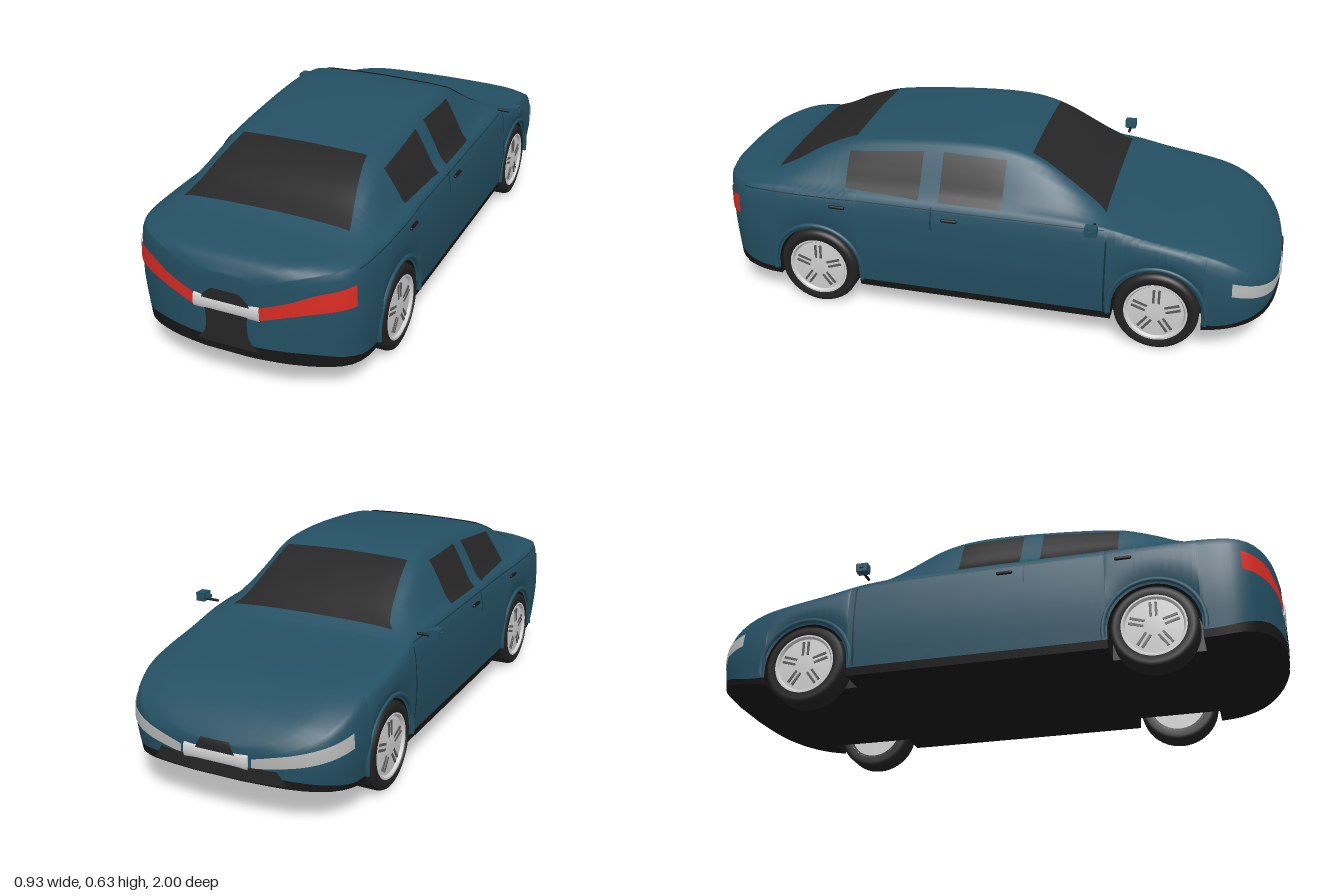
import * as THREE from 'three';
import { toCreasedNormals } from 'three/addons/utils/BufferGeometryUtils.js';

const mat = (name, color, side = THREE.FrontSide) => {
  const m = new THREE.MeshStandardMaterial({ color, side });
  m.name = name;
  return m;
};

// smooth interpolation through [position, value] pairs sorted by position
function curve(...p) {
  const slope = (i) => {
    const a = p[Math.max(i - 1, 0)], b = p[Math.min(i + 1, p.length - 1)];
    return (b[1] - a[1]) / (b[0] - a[0]);
  };
  return (z) => {
    if (z <= p[0][0]) return p[0][1];
    if (z >= p[p.length - 1][0]) return p[p.length - 1][1];
    const i = p.findIndex((q) => q[0] > z) - 1;
    const h = p[i + 1][0] - p[i][0], t = (z - p[i][0]) / h, t2 = t * t, t3 = t2 * t;
    return (2 * t3 - 3 * t2 + 1) * p[i][1] + (t3 - 2 * t2 + t) * h * slope(i)
      + (3 * t2 - 2 * t3) * p[i + 1][1] + (t3 - t2) * h * slope(i + 1);
  };
}

const END = 0.993, WHEELS = [-0.605, 0.587], WHEEL_R = 0.142, ARCH_R = 0.15;

// body shape along its length (nose at -z, tail at +z)
const width = curve([-END, 0.08], [-0.985, 0.16], [-0.97, 0.245], [-0.94, 0.31], [-0.9, 0.352], [-0.85, 0.376],
  [-0.79, 0.387], [-0.7, 0.391], [0, 0.391], [0.7, 0.391], [0.8, 0.388], [0.86, 0.374], [0.9, 0.347], [0.94, 0.288],
  [0.97, 0.21], [0.985, 0.14], [END, 0.08]);
const top = curve([-END, 0.245], [-0.95, 0.293], [-0.9, 0.33], [-0.8, 0.375], [-0.7, 0.396], [-0.55, 0.413],
  [-0.46, 0.432], [-0.4, 0.465], [-0.3, 0.528], [-0.2, 0.583], [-0.13, 0.612], [-0.05, 0.628], [0.05, 0.632],
  [0.2, 0.625], [0.4, 0.606], [0.5, 0.588], [0.6, 0.552], [0.7, 0.502], [0.8, 0.463], [0.93, 0.445], [0.97, 0.43], [END, 0.395]);
const shoulder = curve([-END, 0.222], [-0.95, 0.265], [-0.9, 0.302], [-0.8, 0.35], [-0.7, 0.375], [-0.55, 0.4],
  [-0.4, 0.427], [-0.2, 0.438], [0.6, 0.438], [0.8, 0.434], [0.92, 0.425], [0.97, 0.405], [END, 0.37]);
const floorY = curve([-END, 0.135], [-0.8, 0.094], [-0.7, 0.086], [0.7, 0.086], [0.8, 0.09], [END, 0.125]);
const trimY = curve([-END, 0.165], [-0.9, 0.135], [-0.8, 0.113], [-0.4, 0.113], [0.7, 0.113], [0.8, 0.116],
  [0.9, 0.142], [0.95, 0.16], [END, 0.165]);

// [width factor, height factor] of the flank, and of the upper half over the cabin and the bonnet
const SIDE = [[0.965, 0], [0.985, 0.2], [1, 0.4], [1, 0.6], [0.99, 0.8], [0.975, 0.92], [0.95, 1]];
const CABIN = [[0.905, 0.03], [0.86, 0.17], [0.8, 0.43], [0.73, 0.7], [0.675, 0.88], [0.62, 0.945], [0.5, 0.97], [0.25, 0.99], [0, 1]];
const BONNET = [[0.93, 0.1], [0.9, 0.25], [0.85, 0.4], [0.8, 0.55], [0.74, 0.66], [0.66, 0.76], [0.5, 0.88], [0.25, 0.97], [0, 1]];

function section(z) {
  const w = width(z), yb = floorY(z), sh = shoulder(z), h = top(z) - sh;
  let ya = yb;
  for (const c of WHEELS) {
    const d = Math.abs(z - c);
    if (d <= ARCH_R + 1e-5) ya = WHEEL_R + Math.sqrt(Math.max(0, ARCH_R ** 2 - d * d));
  }
  const yt = Math.max(trimY(z), ya), wi = Math.min(0.27, w * 0.7);
  const half = [[0, yb], [wi, yb], [wi, ya], [w * 0.95, ya]];
  for (const [x, t] of SIDE) half.push([w * x, yt + (sh - yt) * t]);
  const k = THREE.MathUtils.clamp(h / 0.15, 0, 1);
  CABIN.forEach(([x, f], i) => {
    const [bx, bf] = BONNET[i];
    half.push([w * (bx + (x - bx) * k), sh + h * (bf + (f - bf) * k)]);
  });
  return [...half, ...half.slice(0, -1).reverse().map(([x, y]) => [-x, y])].map(([x, y]) => [x, y, z]);
}

function bodyRings() {
  const zs = [-END, -0.99, -0.985, -0.978, -0.97, -0.955, -0.94, -0.92];
  zs.push(...zs.map((z) => -z));
  for (let i = -30; i <= 30; i++) zs.push(i * 0.03);
  for (const c of WHEELS) {
    for (let i = 0; i <= 20; i++) zs.push(c + ARCH_R * Math.cos(i * Math.PI / 20));
    zs.push(c + ARCH_R + 0.001, c - ARCH_R - 0.001);
  }
  zs.sort((a, b) => a - b);
  const rings = zs.map(section);
  const closed = (r) => r.map(([, y, z]) => [0, y, z]);
  return [closed(rings[0]), ...rings, closed(rings[rings.length - 1])];
}

// skin over columns [from, to] of the rings
function skin(rings, ranges) {
  const n = rings[0].length, index = [];
  for (let i = 0; i < rings.length - 1; i++) {
    for (const [from, to] of ranges) for (let j = from; j < to; j++) {
      const a = i * n + j, c = a + n;
      index.push(a, a + 1, c, a + 1, c + 1, c);
    }
  }
  const g = new THREE.BufferGeometry();
  g.setAttribute('position', new THREE.Float32BufferAttribute(rings.flat(2), 3));
  g.setIndex(index);
  g.computeVertexNormals();
  return g;
}

export function createModel() {
  const car = new THREE.Group();
  car.name = 'car';
  const paint = mat('teal paint', 0x245063), trim = mat('black trim', 0x171717);
  const glass = mat('dark glass', 0x262626, THREE.DoubleSide), rubber = mat('tyre rubber', 0x222222);
  const red = mat('red lamp', 0xd92c23, THREE.DoubleSide), lamp = mat('clear lamp', 0xb4b6b6, THREE.DoubleSide);
  const silver = mat('silver', 0xcfcfcf), slot = mat('wheel slot', 0x5a5a5a);
  const seam = mat('seam', 0x14303b, THREE.DoubleSide);
  const add = (name, geo, m, parent = car) => {
    const mesh = new THREE.Mesh(geo, m);
    mesh.name = name;
    parent.add(mesh);
    return mesh;
  };

  // painted shell, black skirt and floor
  const rings = bodyRings();
  const shell = add('bodyShell', skin(rings, [[4, 34]]), paint);
  const skirt = add('skirtAndFloor', toCreasedNormals(skin(rings, [[0, 4], [34, 38]]), 0.6), trim);

  // thin plate laid on the body: at(u, v) gives [point outside, inward direction]
  const ray = new THREE.Raycaster();
  const lay = (name, m, at, nu = 14, nv = 8, lift = 0.004) => {
    const g = new THREE.PlaneGeometry(1, 1, nu, nv), pos = g.attributes.position;
    for (let i = 0; i < pos.count; i++) {
      const [o, d] = at(pos.getX(i) + 0.5, pos.getY(i) + 0.5).map((p) => new THREE.Vector3(...p));
      d.normalize();
      ray.set(o, d);
      const hit = ray.intersectObjects([shell, skirt])[0];
      const p = (hit ? hit.point : o).addScaledVector(d, -lift);
      pos.setXYZ(i, p.x, p.y, p.z);
    }
    g.computeVertexNormals();
    return add(name, g, m);
  };
  const mix = THREE.MathUtils.lerp;

  // windscreens
  lay('windscreen', glass, (u, v) => [[(u * 2 - 1) * mix(0.3, 0.23, Math.sqrt(v)), 2, mix(-0.415, -0.15, v)], [0, -1, 0]], 20, 14);
  lay('rearWindow', glass, (u, v) => [[(u * 2 - 1) * mix(0.22, 0.285, v ** 1.3), 2, mix(0.475, 0.745, v)], [0, -1, 0]], 20, 14);

  // lamps: swept around the corners from a centre inside the body
  const sweep = (name, m, s, dir, cz, a0, a1, low, high) => lay(name, m, (u, v) => {
    const a = mix(a0, a1, u), dx = s * Math.sin(a), dz = dir * Math.cos(a);
    return [[dx * 2, mix(low(u), high(u), v), cz + dz * 2], [-dx, 0, -dz]];
  }, 24, 5);
  for (const s of [1, -1]) {
    const side = s > 0 ? 'left' : 'right';
    sweep(side + 'TailLamp', red, s, 1, 0.6, 0.27, 0.93,
      curve([0, 0.262], [0.33, 0.288], [0.6, 0.303], [1, 0.313]), curve([0, 0.305], [0.33, 0.335], [0.6, 0.364], [1, 0.382]));
    sweep(side + 'HeadLamp', lamp, s, -1, -0.6, 0.3, 1.0,
      curve([0, 0.182], [0.5, 0.206], [1, 0.238]), curve([0, 0.212], [0.5, 0.247], [1, 0.285]));

    // side windows, seams and belt line
    const flank = (name, m, z0, z1, low, high, ...n) => lay(side + name, m,
      (u, v) => [[s * 2, mix(low(u), high(u), v), mix(z0, z1, u)], [-s, 0, 0]], ...n);
    const flat = (y) => () => y;
    flank('RearSideWindow', glass, 0.48, 0.215, (u) => mix(0.452, 0.443, u), (u) => mix(0.56, 0.587, u));
    flank('FrontSideWindow', glass, 0.145, -0.073, flat(0.443), (u) => mix(0.592, 0.588, u));
    flank('FrontDoorSeam', seam, -0.427, -0.433, flat(0.115), flat(0.425), 1, 16, 0.002);
    flank('RearDoorSeam', seam, 0.168, 0.163, flat(0.35), flat(0.43), 1, 8, 0.002);
    flank('BeltLine', seam, 0.85, -0.42, flat(0.42), flat(0.423), 40, 1, 0.002);

    // door handles
    for (const z of [0.5, 0.1]) {
      const handle = add(side + 'DoorHandle', new THREE.CapsuleGeometry(0.006, 0.045, 4, 8), trim);
      handle.rotation.x = Math.PI / 2;
      handle.position.set(s * 0.391, 0.393, z);
    }

    // door mirror
    const stalk = add(side + 'MirrorStalk', new THREE.CapsuleGeometry(0.005, 0.04, 4, 8), trim);
    stalk.rotation.z = Math.PI / 2;
    stalk.position.set(s * 0.398, 0.441, -0.39);
    const arm = add(side + 'MirrorArm', new THREE.BoxGeometry(0.055, 0.012, 0.014), paint);
    arm.position.set(s * 0.435, 0.451, -0.388);
    const head = add(side + 'MirrorHead', new THREE.BoxGeometry(0.032, 0.03, 0.04), paint);
    head.position.set(s * 0.438, 0.45, -0.388);
  }

  // grilles and number plates at both ends
  const rearGrille = curve([0.13, 0.13], [0.165, 0.09], [0.19, 0.074], [0.25, 0.07], [0.305, 0.08], [0.338, 0.045]);
  lay('rearGrille', glass, (u, v) => {
    const y = mix(0.15, 0.338, v);
    return [[(u * 2 - 1) * rearGrille(y), y, 2], [0, 0, -1]];
  }, 10, 14);
  lay('frontGrille', glass, (u, v) => [[(u * 2 - 1) * mix(0.23, 0.2, v), mix(0.14, 0.185, v), -2], [0, 0, 1]], 20, 5);
  lay('upperGrille', glass, (u, v) => [[(u * 2 - 1) * mix(0.085, 0.05, v), mix(0.18, 0.25, v), -2], [0, 0, 1]], 10, 8);
  for (const [name, y, z] of [['rearPlate', 0.282, 0.99], ['frontPlate', 0.197, -0.99]]) {
    const plate = add(name, new THREE.CylinderGeometry(0.024, 0.024, 0.22, 20).rotateZ(Math.PI / 2), silver);
    plate.scale.z = 0.42;
    plate.position.set(0, y, z);
  }

  // wheels and arch lips
  const tyre = new THREE.LatheGeometry([[0.1, -0.044], [0.126, -0.047], [0.137, -0.043], [0.142, -0.032], [0.142, 0.032],
    [0.137, 0.043], [0.126, 0.047], [0.1, 0.044], [0.1, -0.044]].map((p) => new THREE.Vector2(...p)), 48).rotateZ(-Math.PI / 2);
  const rim = toCreasedNormals(new THREE.LatheGeometry([[0, -0.03], [0.1, -0.03], [0.106, -0.046], [0.106, 0.046],
    [0.1, 0.046], [0.094, 0.037], [0.03, 0.041], [0, 0.042]].map((p) => new THREE.Vector2(...p)), 48), 0.5).rotateZ(-Math.PI / 2);
  for (const s of [1, -1]) for (const z of WHEELS) {
    const wheel = new THREE.Group();
    wheel.name = (s > 0 ? 'left' : 'right') + (z < 0 ? 'Front' : 'Rear') + 'Wheel';
    wheel.position.set(s * 0.341, WHEEL_R, z);
    if (s < 0) wheel.rotation.y = Math.PI;
    car.add(wheel);
    add('tyre', tyre, rubber, wheel);
    add('rim', rim, silver, wheel);
    for (let i = 0; i < 5; i++) for (const o of [-0.009, 0.009]) {
      const groove = add('spokeGroove', new THREE.BoxGeometry(0.006, 0.05, 0.008).translate(0.039, 0.058, o), slot, wheel);
      groove.rotation.x = i * Math.PI * 0.4;
    }
    const lip = add('archLip', new THREE.TorusGeometry(0.164, 0.008, 8, 36, Math.PI * 1.1), paint);
    lip.geometry.rotateZ(-Math.PI * 0.05).rotateY(Math.PI / 2);
    lip.position.set(s * 0.384, WHEEL_R, z);
  }
  return car;
}
